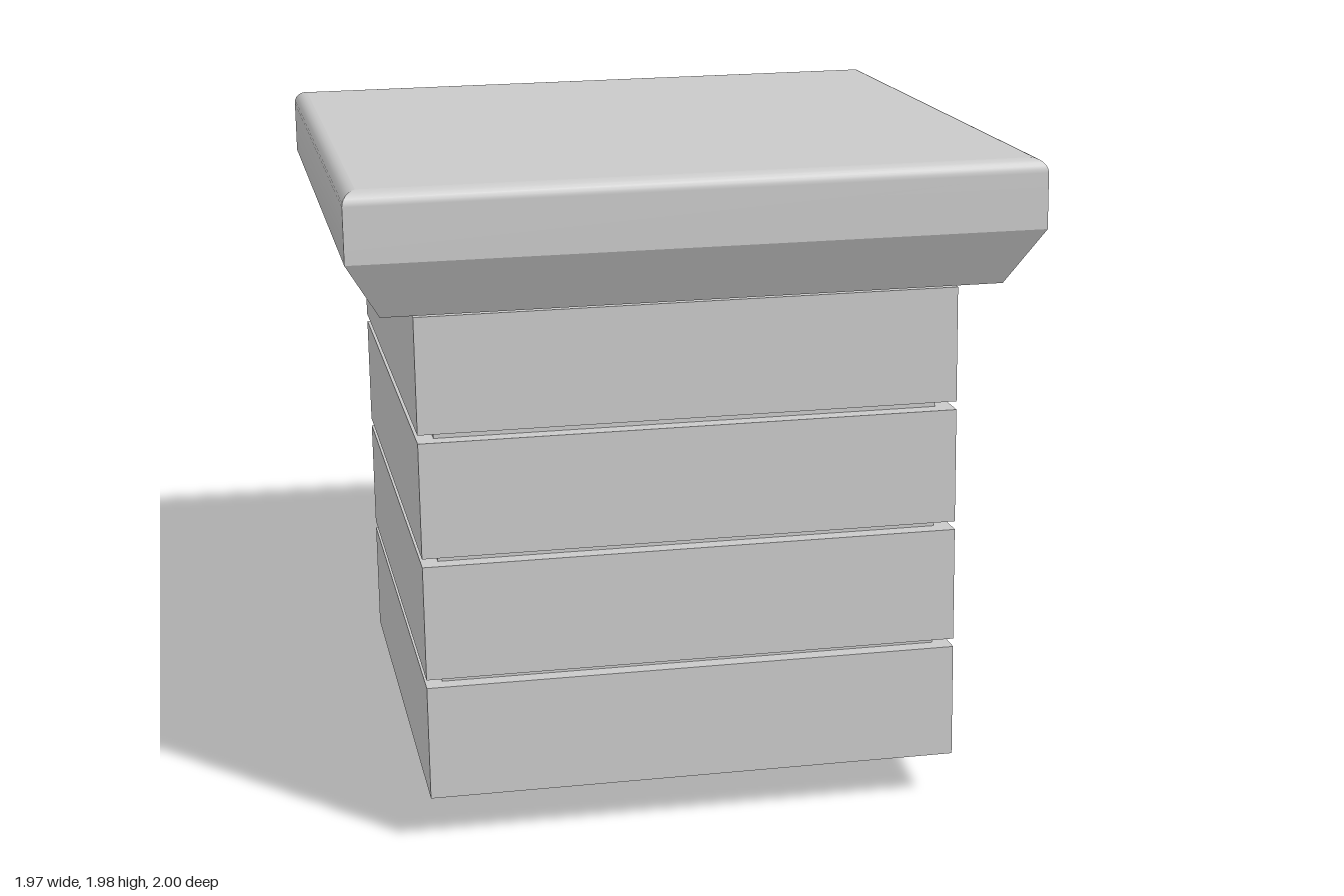
import * as THREE from 'three';

const HALF_X = 0.984, HALF_Z = 0.997; // cap half sizes

// One side wall of the cap, swept along a profile of [inset, height] points.
// axis 'x' or 'z', sign picks the side; corners are mitred.
function capSide(profile, axis, sign, material) {
  const pos = [], index = [];
  profile.forEach(([inset, y]) => {
    const x = HALF_X - inset, z = HALF_Z - inset;
    if (axis === 'z') pos.push(-sign * x, y, sign * z, sign * x, y, sign * z);
    else pos.push(sign * x, y, sign * z, sign * x, y, -sign * z);
  });
  for (let i = 0; i < profile.length - 1; i++) {
    const a = i * 2;
    index.push(a, a + 1, a + 3, a, a + 3, a + 2);
  }
  const geo = new THREE.BufferGeometry();
  geo.setAttribute('position', new THREE.Float32BufferAttribute(pos, 3));
  geo.setIndex(index);
  geo.computeVertexNormals();
  return new THREE.Mesh(geo, material);
}

// Flat horizontal cover of the cap
function capFace(inset, y, up, material) {
  const geo = new THREE.PlaneGeometry(2 * (HALF_X - inset), 2 * (HALF_Z - inset));
  geo.rotateX(up ? -Math.PI / 2 : Math.PI / 2);
  geo.translate(0, y, 0);
  return new THREE.Mesh(geo, material);
}

export function createModel() {
  const material = new THREE.MeshStandardMaterial({ color: 0xcccccc });
  const model = new THREE.Group();
  model.name = 'tiltedPillar';

  // Leaning frame that holds every part
  const pillar = new THREE.Group();
  pillar.name = 'pillar';
  pillar.rotation.x = -THREE.MathUtils.degToRad(5);
  pillar.position.set(0, 0.07, 0.147);
  model.add(pillar);

  function box(name, w, y0, y1, d) {
    const mesh = new THREE.Mesh(new THREE.BoxGeometry(w, y1 - y0, d), material);
    mesh.position.y = (y0 + y1) / 2;
    mesh.name = name;
    pillar.add(mesh);
  }

  // Four stacked blocks with a recessed core showing in the joints
  const pitch = 0.365, gap = 0.025;
  for (let i = 0; i < 4; i++) {
    box('block' + (i + 1), 1.574, i * pitch, (i + 1) * pitch - gap, 1.6);
  }
  box('core', 1.474, 0.1, 4 * pitch + 0.01, 1.5);

  // Cap: chamfer below, upright band, rounded upper edge
  const r = 0.04, top = 1.83, base = 4 * pitch + 0.002;
  const chamfer = [[0.097, base], [0, 1.631]];
  const band = [[0, 1.631]];
  for (let i = 0; i <= 6; i++) {
    const a = (i / 6) * Math.PI / 2;
    band.push([r * (1 - Math.cos(a)), top - r + r * Math.sin(a)]);
  }
  const cap = new THREE.Group();
  cap.name = 'cap';
  for (const s of [1, -1]) {
    // front and back keep a crisp chamfer line, the flanks are shaded smooth
    cap.add(capSide(chamfer, 'z', s, material), capSide(band, 'z', s, material));
    cap.add(capSide([chamfer[0], ...band], 'x', s, material));
  }
  cap.add(capFace(r, top, true, material), capFace(0.097, base, false, material));
  cap.children.forEach((m, i) => { m.name = 'capSurface' + (i + 1); });
  pillar.add(cap);

  return model;
}
